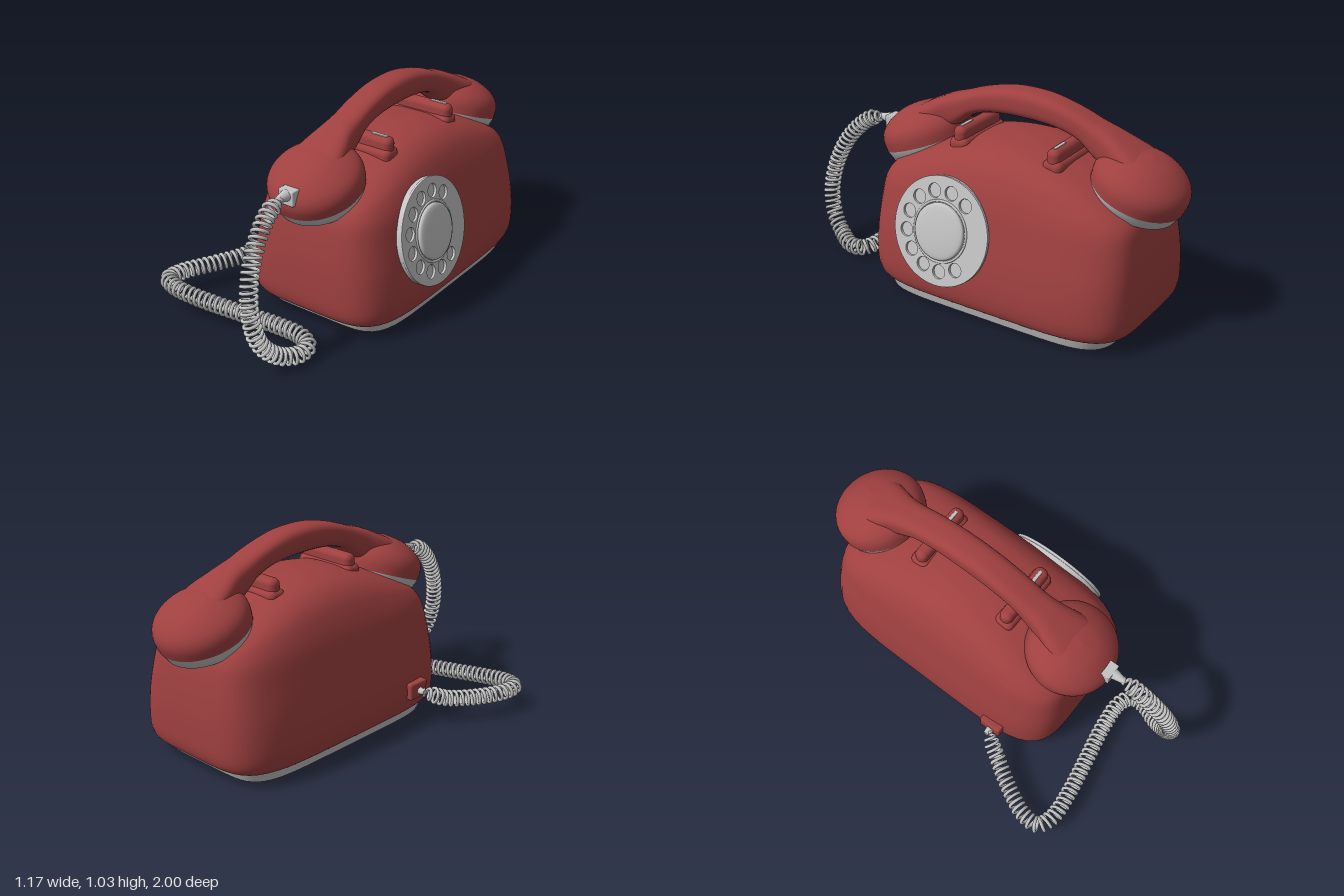
import * as THREE from 'three';
import { toCreasedNormals } from 'three/addons/utils/BufferGeometryUtils.js';
import { RoundedBoxGeometry } from 'three/addons/geometries/RoundedBoxGeometry.js';

const V = (x, y, z) => new THREE.Vector3(x, y, z);
const red = new THREE.MeshStandardMaterial({ name: 'red shell', color: 0xa04040 });
const grey = new THREE.MeshStandardMaterial({ name: 'light grey', color: 0xc4c4c4 });

function add(parent, name, geometry, material, x = 0, y = 0, z = 0) {
  const mesh = new THREE.Mesh(geometry, material);
  mesh.name = name;
  mesh.position.set(x, y, z);
  parent.add(mesh);
  return mesh;
}

// Refine a list of stations by running a spline through each column
function refine(rows, count) {
  const splines = rows[0].map((_, k) =>
    new THREE.SplineCurve(rows.map((r, i) => new THREE.Vector2(i, r[k]))));
  return Array.from({ length: count + 1 }, (_, i) => splines.map(s => s.getPoint(i / count).y));
}

// Point on a unit rounded square of the given squareness
function squircle(a, n) {
  const c = Math.cos(a), s = Math.sin(a);
  const r = (Math.abs(c) ** n + Math.abs(s) ** n) ** (-1 / n);
  return [c * r, s * r];
}

// Skin closed rings of points and cap both ends
function loft(rings) {
  const n = rings[0].length, last = rings.length - 1;
  const pts = rings.flat(), index = [];
  const middle = ring => ring.reduce((m, p) => m.add(p), V(0, 0, 0)).divideScalar(n);
  const c0 = pts.length, c1 = c0 + 1;
  pts.push(middle(rings[0]), middle(rings[last]));
  for (let j = 0; j < n; j++) {
    const k = (j + 1) % n;
    for (let i = 0; i < last; i++) {
      const a = i * n, b = a + n;
      index.push(a + j, b + j, a + k, b + j, b + k, a + k);
    }
    index.push(c0, j, k, c1, last * n + k, last * n + j);
  }
  const g = new THREE.BufferGeometry().setFromPoints(pts);
  g.setIndex(index);
  g.computeVertexNormals();
  return g;
}

// Horizontal ring: height, half width, half length, downward bend along z
const flatRing = (n, sides) => ([y, hx, hz, bend]) => Array.from({ length: sides }, (_, j) => {
  const [x, z] = squircle(j / sides * Math.PI * 2, n);
  return V(x * hx, y - bend * (z * hz) ** 2, z * hz);
});

// Upright ring: z, top, bottom, half width
const uprightRing = ([z, top, bottom, hw]) => Array.from({ length: 40 }, (_, j) => {
  const [x, y] = squircle(j / 40 * Math.PI * 2, 3.2);
  return V(x * hw, (top + bottom) / 2 - y * (top - bottom) / 2, z);
});

const lathe = profile =>
  new THREE.LatheGeometry(new THREE.SplineCurve(profile.map(p => new THREE.Vector2(...p))).getPoints(24), 56);

function buildBody(g) {
  const rows = [
    [0.06, 0.38, 0.63, 0], [0.075, 0.4, 0.67, 0], [0.12, 0.413, 0.69, 0], [0.2, 0.414, 0.695, 0],
    [0.32, 0.4, 0.693, 0], [0.45, 0.373, 0.683, 0.02], [0.58, 0.342, 0.665, 0.07],
    [0.68, 0.302, 0.64, 0.2], [0.74, 0.262, 0.61, 0.32], [0.78, 0.21, 0.58, 0.42],
    [0.8, 0.15, 0.53, 0.47], [0.81, 0.08, 0.38, 0.47], [0.813, 0.005, 0.02, 0.47]];
  add(g, 'body', loft(refine(rows, 60).map(flatRing(5, 96))), red, 0.135, 0, -0.195);
  const plinth = loft([[0.015, 0.367, 0.605, 0], [0.065, 0.38, 0.627, 0]].map(flatRing(6, 96)));
  add(g, 'plinth', toCreasedNormals(plinth, 0.6), grey, 0.135, 0, -0.195);

  // Cradle rests with a metal slot on top
  for (const z of [0.065, -0.435]) {
    add(g, 'cradleRest', new RoundedBoxGeometry(0.32, 0.13, 0.066, 4, 0.03), red, 0.163, 0.785, z);
    add(g, 'cradleFoot', new RoundedBoxGeometry(0.34, 0.1, 0.1, 4, 0.03), red, 0.16, 0.748, z);
    add(g, 'cradleSlot', new RoundedBoxGeometry(0.09, 0.008, 0.018, 2, 0.003), grey, 0.25, 0.849, z);
  }
  // Cord socket on the side
  add(g, 'cordSocket', new RoundedBoxGeometry(0.06, 0.085, 0.12, 3, 0.01), red, -0.273, 0.18, 0.22);
  const plug = add(g, 'socketPlug', new THREE.CylinderGeometry(0.02, 0.014, 0.05, 20), grey, -0.31, 0.175, 0.225);
  plug.rotation.z = -Math.PI / 2;
}

function buildDial(g) {
  const dial = new THREE.Group(), t = 0.222;
  dial.name = 'dial';
  dial.applyMatrix4(new THREE.Matrix4().makeBasis(
    V(0, 0, -1), V(-Math.sin(t), Math.cos(t), 0), V(Math.cos(t), Math.sin(t), 0)));
  dial.position.set(0.505, 0.415, 0.02);
  g.add(dial);
  const disc = (name, r0, r1, depth, z) => {
    const m = add(dial, name, new THREE.CylinderGeometry(r0, r1, depth, 64), grey, 0, 0, z);
    m.rotation.x = Math.PI / 2;
  };
  disc('dialBack', 0.255, 0.255, 0.03, 0);
  // Finger wheel with ten holes
  const shape = new THREE.Shape().absarc(0, 0, 0.256, 0, Math.PI * 2);
  for (let i = 0; i < 10; i++) {
    const a = (51 + 28 * i) * Math.PI / 180;
    shape.holes.push(new THREE.Path().absarc(0.19 * Math.cos(a), 0.19 * Math.sin(a), 0.036, 0, Math.PI * 2, true));
  }
  add(dial, 'fingerWheel', new THREE.ExtrudeGeometry(shape, {
    depth: 0.009, curveSegments: 32, bevelEnabled: true, bevelThickness: 0.003, bevelSize: 0.003, bevelSegments: 2,
  }), grey, 0, 0, 0.018);
  add(dial, 'hubRing', new THREE.TorusGeometry(0.143, 0.006, 10, 64), grey, 0, 0, 0.03);
  const hub = add(dial, 'hub', lathe([[0.134, 0], [0.132, 0.016], [0.11, 0.024], [0.05, 0.029], [0, 0.03]]), grey, 0, 0, 0.026);
  hub.rotation.x = Math.PI / 2;
}

function buildHandset(g) {
  const set = new THREE.Group();
  set.name = 'handset';
  set.position.set(0.125, 0, -0.2);
  g.add(set);
  // Arched grip, widening into each cup
  const half = [
    [0.1, 1.024, 0.897, 0.075], [0.2, 1.003, 0.885, 0.075], [0.29, 0.976, 0.855, 0.076],
    [0.36, 0.95, 0.8, 0.08], [0.43, 0.927, 0.755, 0.09], [0.5, 0.895, 0.72, 0.113],
    [0.57, 0.86, 0.7, 0.13], [0.65, 0.812, 0.68, 0.125], [0.72, 0.755, 0.67, 0.09], [0.755, 0.72, 0.68, 0.03]];
  const mirrored = half.map(([z, ...rest]) => [-z, ...rest]).reverse();
  add(set, 'grip', loft(refine([...mirrored, [0, 1.03, 0.9, 0.075], ...half], 80).map(uprightRing)), red);

  // Tilted cups with grey caps
  const cupGeo = lathe([[0.222, 0], [0.225, 0.05], [0.212, 0.09], [0.182, 0.123], [0.135, 0.153], [0.08, 0.174], [0, 0.185]]);
  const capGeo = toCreasedNormals(new THREE.LatheGeometry(
    [[0, -0.06], [0.19, -0.06], [0.203, -0.052], [0.222, 0]].map(p => new THREE.Vector2(...p)), 56), 0.7);
  for (const s of [1, -1]) {
    const end = new THREE.Group();
    end.name = s > 0 ? 'mouthpiece' : 'earpiece';
    end.position.set(0, 0.67, 0.567 * s);
    end.rotation.x = 0.35 * s;
    add(end, 'cup', cupGeo, red);
    add(end, 'cap', capGeo, grey);
    set.add(end);
  }
  // Cord plug at the mouthpiece
  add(set, 'plugPlate', new RoundedBoxGeometry(0.082, 0.072, 0.05, 2, 0.005), grey, 0.01, 0.71, 0.785);
  const tip = add(set, 'plugTip', new THREE.CylinderGeometry(0.015, 0.028, 0.06, 20), grey, 0.012, 0.722, 0.835);
  tip.rotation.x = Math.PI / 2;
}

function buildCord(g) {
  const path = new THREE.CatmullRomCurve3([
    [0.14, 0.725, 0.64], [0.145, 0.69, 0.74], [0.165, 0.58, 0.855], [0.19, 0.43, 0.93], [0.215, 0.28, 0.953],
    [0.24, 0.15, 0.92], [0.275, 0.07, 0.84], [0.31, 0.047, 0.76], [0.305, 0.05, 0.685], [0.24, 0.06, 0.65],
    [0.1, 0.068, 0.655], [-0.1, 0.08, 0.69], [-0.3, 0.095, 0.725], [-0.45, 0.108, 0.735], [-0.53, 0.112, 0.7],
    [-0.53, 0.11, 0.61], [-0.46, 0.11, 0.46], [-0.38, 0.125, 0.33], [-0.335, 0.16, 0.255], [-0.3, 0.178, 0.225],
  ].map(p => V(...p)));
  // Wind a helix around the path, tight at both ends
  const turns = 84, steps = turns * 12;
  path.arcLengthDivisions = 1000;
  const frames = path.computeFrenetFrames(steps, false);
  const points = Array.from({ length: steps + 1 }, (_, i) => {
    const u = i / steps, a = u * turns * Math.PI * 2;
    const r = 0.036 * Math.min(1, 0.1 + Math.min(u, 1 - u) * 30);
    return path.getPointAt(u)
      .addScaledVector(frames.normals[i], r * Math.cos(a))
      .addScaledVector(frames.binormals[i], r * Math.sin(a));
  });
  const coil = new THREE.CatmullRomCurve3(points);
  coil.arcLengthDivisions = steps * 3;
  add(g, 'coiledCord', new THREE.TubeGeometry(coil, turns * 16, 0.0085, 7), grey);
}

export function createModel() {
  const model = new THREE.Group();
  model.name = 'telephone';
  buildBody(model);
  buildDial(model);
  buildHandset(model);
  buildCord(model);
  return model;
}
